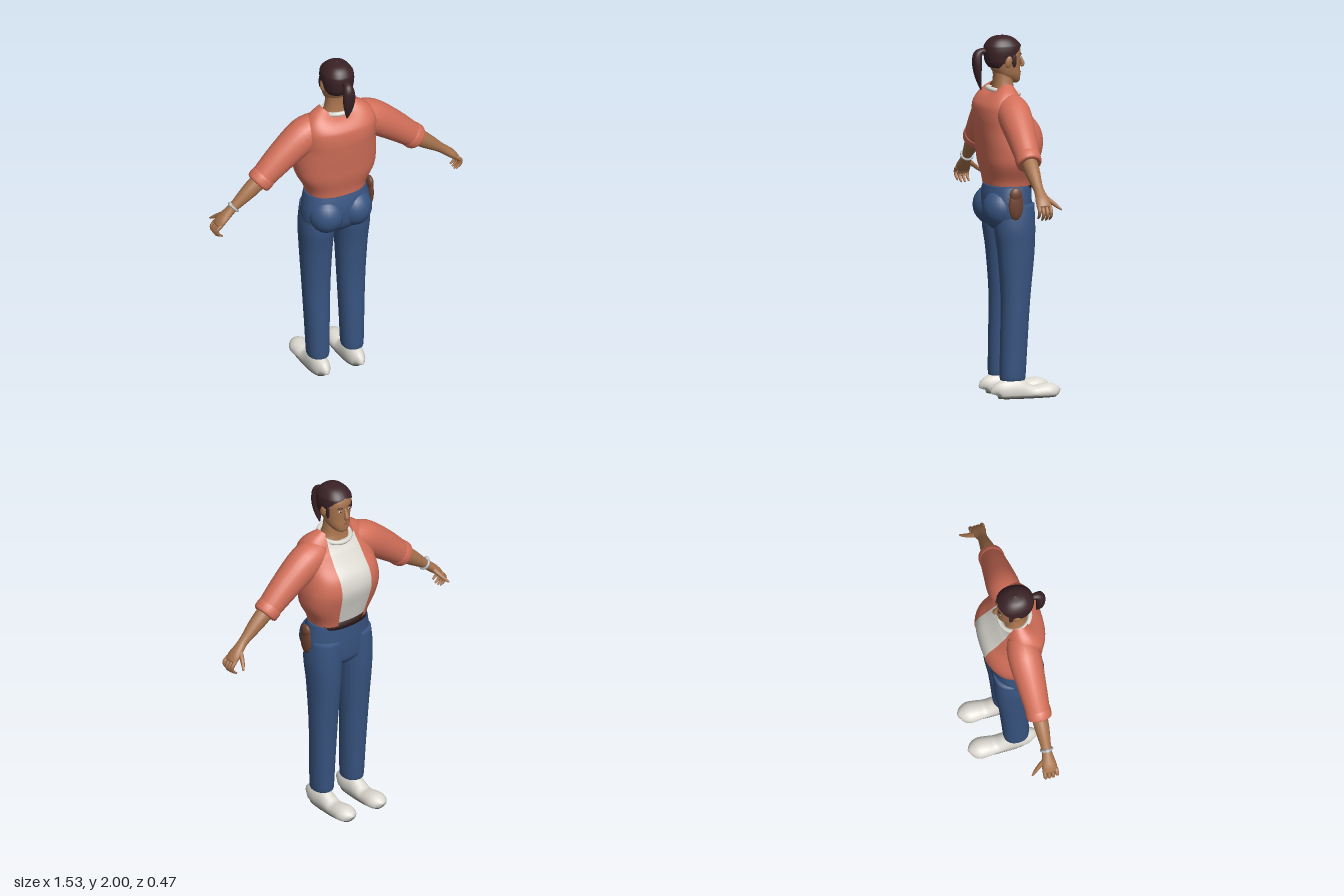
import * as THREE from 'three';

const mat = (name, color, double) => {
  const m = new THREE.MeshStandardMaterial({ color });
  m.name = name;
  if (double) m.side = THREE.DoubleSide;
  return m;
};

// Catmull-Rom subdivision of rows of numbers
function smooth(rows, k = 4) {
  const out = [], at = i => rows[Math.min(rows.length - 1, Math.max(0, i))];
  for (let i = 0; i < rows.length - 1; i++) {
    for (let s = 0; s < k; s++) {
      const t = s / k;
      out.push(rows[i].map((b, c) => {
        const a = at(i - 1)[c], d = at(i + 1)[c], e = at(i + 2)[c];
        return b + 0.5 * t * (d - a + t * (2 * a - 5 * b + 4 * d - e + t * (3 * (b - d) + e - a)));
      }));
    }
  }
  out.push(at(rows.length - 1));
  return out;
}

// Skin a list of point rings; closed rings also get end caps
function skin(rings, closed = true) {
  const n = rings[0].length, pos = [], idx = [];
  rings.forEach(r => r.forEach(p => pos.push(p.x, p.y, p.z)));
  const cols = closed ? n : n - 1;
  for (let i = 0; i < rings.length - 1; i++) {
    for (let j = 0; j < cols; j++) {
      const a = i * n + j, b = i * n + (j + 1) % n;
      idx.push(a, a + n, b, b, a + n, b + n);
    }
  }
  if (closed) {
    for (const i of [0, rings.length - 1]) {
      const c = new THREE.Vector3(), k = pos.length / 3;
      rings[i].forEach(p => c.addScaledVector(p, 1 / n));
      pos.push(c.x, c.y, c.z);
      for (let j = 0; j < n; j++) {
        const a = i * n + j, b = i * n + (j + 1) % n;
        if (i) idx.push(a, k, b); else idx.push(a, b, k);
      }
    }
  }
  const g = new THREE.BufferGeometry();
  g.setAttribute('position', new THREE.Float32BufferAttribute(pos, 3));
  g.setIndex(idx);
  g.computeVertexNormals();
  return g;
}

// Upright form. Rows: [y, centre x, half width, front z, back z]; span gives the arc per row
function upright(rows, { e = 0.9, n = 36, span, inset = 0, dip } = {}) {
  const S = v => Math.sign(v) * Math.abs(v) ** e;
  return skin(rows.map(row => {
    const [y, cx, hw, zf, zb] = row;
    const [a0, a1] = span ? span(row) : [0, 2 * Math.PI];
    return Array.from({ length: n }, (_, j) => {
      const a = a0 + (a1 - a0) * j / (span ? n - 1 : n);
      return new THREE.Vector3(cx + (hw - inset) * S(Math.sin(a)),
        y - (dip ? dip(y) * Math.cos(a) ** 2 : 0),
        (zf + zb) / 2 - ((zb - zf) / 2 - inset) * S(Math.cos(a)));
    });
  }), !span);
}

// Limb along a path. Rows: [x, y, z, radius across, radius along ref]
function limb(rows, ref, { n = 16, floor = -1 } = {}) {
  const pts = rows.map(r => new THREE.Vector3(r[0], r[1], r[2]));
  return skin(rows.map((r, i) => {
    const t = pts[Math.min(i + 1, pts.length - 1)].clone().sub(pts[Math.max(i - 1, 0)]).normalize();
    const V = ref.clone().addScaledVector(t, -ref.dot(t)).normalize();
    const U = t.clone().cross(V);
    return Array.from({ length: n }, (_, j) => {
      const a = j / n * 2 * Math.PI;
      const p = pts[i].clone().addScaledVector(U, r[3] * Math.cos(a)).addScaledVector(V, r[4] * Math.sin(a));
      p.y = Math.max(p.y, floor);
      return p;
    });
  }));
}

export function createModel() {
  const root = new THREE.Group();
  const coral = mat('coral jacket', 0xd4705a, true), denim = mat('blue denim', 0x385480);
  const skinM = mat('skin', 0xa8744e), hairM = mat('dark hair', 0x3a2226, true);
  const white = mat('off white', 0xdcd9d1, true), brown = mat('brown leather', 0x6e4230);
  const belt = mat('dark belt', 0x3d2020), silver = mat('silver', 0xb9bec2);
  const sole = mat('grey sole', 0x6a6862), lip = mat('lips', 0x8c5340);
  const X = new THREE.Vector3(1, 0, 0), Y = new THREE.Vector3(0, 1, 0), Z = new THREE.Vector3(0, 0, 1);

  const add = (name, geo, m) => {
    const mesh = new THREE.Mesh(geo, m);
    mesh.name = name;
    root.add(mesh);
    return mesh;
  };
  const ball = (name, m, p, s) => {
    const b = add(name, new THREE.SphereGeometry(1, 20, 14), m);
    b.position.set(...p);
    b.scale.set(...s);
    return b;
  };

  // Open jacket over a shirt, sharing one torso form
  const torso = smooth([
    [1.18, 0, 0.172, -0.09, 0.16], [1.22, 0, 0.185, -0.1, 0.166], [1.3, 0, 0.226, -0.122, 0.185],
    [1.38, 0, 0.237, -0.145, 0.195], [1.44, 0, 0.234, -0.148, 0.203], [1.5, 0, 0.226, -0.13, 0.21],
    [1.56, 0, 0.222, -0.085, 0.215], [1.62, 0, 0.216, -0.045, 0.21], [1.67, 0, 0.195, -0.022, 0.19],
    [1.71, 0, 0.155, -0.01, 0.162], [1.74, 0, 0.1, 0, 0.125]]);
  const opening = ([y, , hw]) => {
    const edge = Math.min(0.085 + 0.02 * Math.sin((y - 1.18) * 5), hw * 0.88);
    return Math.asin((edge / hw) ** (1 / 0.82));
  };
  const dip = y => Math.max(0, y - 1.62) * 0.4;
  add('jacket', upright(torso, { e: 0.82, n: 48, dip, span: r => [opening(r), 2 * Math.PI - opening(r)] }), coral);
  add('shirt', upright(torso.filter(r => r[0] > 1.205 && r[0] < 1.715),
    { e: 0.82, n: 20, dip, inset: 0.005, span: r => [-opening(r) - 0.08, opening(r) + 0.08] }), white);
  add('belt', upright([[1.16, 0, 0.17, -0.09, 0.155], [1.215, 0, 0.17, -0.092, 0.155]], { e: 0.82 }), belt);
  const collar = add('collar', new THREE.TorusGeometry(0.088, 0.013, 10, 36), white);
  collar.rotation.x = Math.PI / 2 - 0.22;
  collar.position.set(0, 1.69, 0.058);

  // Trousers
  add('hips', upright(smooth([[0.9, 0, 0.07, -0.04, 0.07], [0.94, 0, 0.165, -0.078, 0.13],
    [0.99, 0, 0.196, -0.087, 0.165], [1.06, 0, 0.2, -0.09, 0.175], [1.12, 0, 0.192, -0.09, 0.172],
    [1.18, 0, 0.177, -0.09, 0.157]])), denim);

  for (const s of [-1, 1]) {
    ball('buttock', denim, [s * 0.085, 1.05, 0.095], [0.103, 0.112, 0.106]);
    add('trouserLeg', upright(smooth([
      [0.1, s * 0.106, 0.054, -0.028, 0.102], [0.125, s * 0.106, 0.061, -0.035, 0.108],
      [0.3, s * 0.107, 0.067, -0.045, 0.106], [0.55, s * 0.108, 0.077, -0.06, 0.102],
      [0.8, s * 0.109, 0.088, -0.083, 0.12], [0.95, s * 0.108, 0.097, -0.088, 0.14],
      [1.08, s * 0.1, 0.092, -0.085, 0.13]]), { n: 28 }), denim);

    // Shoe rows: z, height, half width
    const shoe = [[0.126, 0.05, 0.012], [0.117, 0.085, 0.038], [0.07, 0.108, 0.05], [0.01, 0.108, 0.05],
      [-0.03, 0.088, 0.05], [-0.08, 0.064, 0.052], [-0.13, 0.072, 0.058], [-0.175, 0.075, 0.06],
      [-0.21, 0.06, 0.044], [-0.225, 0.04, 0.012]];
    add('shoe', limb(smooth(shoe.map(([z, h, w]) => [s * 0.108, h * 0.35, z, h * 0.65, w])), X,
      { n: 24, floor: 0.01 }), white);
    add('shoeSole', upright([[0, s * 0.108, 0.05, -0.212, 0.118], [0.014, s * 0.108, 0.053, -0.216, 0.121]],
      { e: 0.7 }), sole);

    // Sleeve with rolled cuff
    add('sleeve', limb(smooth([[s * 0.1, 1.63, 0.06, 0.07, 0.075], [s * 0.2, 1.585, 0.058, 0.097, 0.093],
      [s * 0.35, 1.475, 0.06, 0.085, 0.08], [s * 0.482, 1.362, 0.062, 0.066, 0.065]]), Z, { n: 24 }), coral);
    add('sleeveCuff', limb(smooth([[s * 0.448, 1.391, 0.062, 0.062, 0.062], [s * 0.453, 1.387, 0.062, 0.073, 0.071],
      [s * 0.485, 1.359, 0.062, 0.072, 0.07], [s * 0.493, 1.352, 0.062, 0.06, 0.058]], 3), Z, { n: 24 }), coral);

    // Forearm, palm, curled fingers and thumb
    add('forearm', limb(smooth([[s * 0.45, 1.39, 0.062, 0.05, 0.045], [s * 0.54, 1.32, 0.062, 0.045, 0.041],
      [s * 0.635, 1.243, 0.06, 0.028, 0.028], [s * 0.675, 1.208, 0.057, 0.026, 0.033],
      [s * 0.712, 1.175, 0.055, 0.024, 0.042], [s * 0.74, 1.147, 0.055, 0.016, 0.038]]), Z), skinM);
    for (let f = 0; f < 4; f++) {
      const z = 0.022 + f * 0.022, d = f === 3 ? 0.012 : f === 0 ? 0.004 : 0;
      add('finger', limb(smooth([[s * 0.728, 1.16, z, 0.011, 0.011], [s * 0.754, 1.125 + d, z, 0.011, 0.011],
        [s * 0.748, 1.098 + d, z, 0.009, 0.009], [s * 0.722, 1.078 + d, z, 0.005, 0.005]]), Z, { n: 8 }), skinM);
    }
    add('thumb', limb(smooth([[s * 0.685, 1.195, 0.035, 0.015, 0.016], [s * 0.7, 1.172, 0.002, 0.013, 0.013],
      [s * 0.715, 1.15, -0.025, 0.01, 0.01], [s * 0.73, 1.133, -0.046, 0.005, 0.005]]), Y, { n: 8 }), skinM);

    // Ears, eyes and brows
    ball('ear', skinM, [s * 0.084, 1.862, 0.052], [0.012, 0.034, 0.02]).rotation.x = -0.2;
    ball('eye', white, [s * 0.031, 1.876, -0.032], [0.012, 0.006, 0.005]);
    ball('iris', belt, [s * 0.031, 1.876, -0.0355], [0.005, 0.005, 0.003]);
    ball('eyebrow', hairM, [s * 0.033, 1.896, -0.034], [0.018, 0.004, 0.005]).rotation.y = -s * 0.3;
  }

  // Neck and head
  add('neck', upright(smooth([[1.6, 0, 0.1, -0.01, 0.15], [1.67, 0, 0.095, -0.005, 0.135],
    [1.71, 0, 0.073, 0.003, 0.118], [1.78, 0, 0.06, 0.005, 0.112], [1.84, 0, 0.06, 0.01, 0.12]])), skinM);
  add('head', upright(smooth([[1.735, 0, 0.022, -0.026, 0.03], [1.748, 0, 0.042, -0.036, 0.06],
    [1.78, 0, 0.063, -0.038, 0.1], [1.82, 0, 0.073, -0.036, 0.128], [1.87, 0, 0.08, -0.038, 0.148],
    [1.92, 0, 0.08, -0.038, 0.152], [1.96, 0, 0.066, -0.015, 0.135], [1.985, 0, 0.035, 0.02, 0.1]])), skinM);
  add('nose', limb(smooth([[0, 1.888, -0.034, 0.006, 0.006], [0, 1.86, -0.046, 0.01, 0.01],
    [0, 1.836, -0.054, 0.012, 0.015], [0, 1.824, -0.044, 0.008, 0.013]]), X, { n: 12 }), skinM);
  ball('mouth', lip, [0, 1.793, -0.037], [0.02, 0.006, 0.005]);

  // Hair cap: last column is the half angle left open for the face
  const cap = smooth([[1.825, 0, 0.074, -0.03, 0.138, 2.1], [1.85, 0, 0.084, -0.038, 0.156, 1.75],
    [1.88, 0, 0.088, -0.042, 0.163, 1.4], [1.91, 0, 0.09, -0.044, 0.166, 0.98],
    [1.935, 0, 0.088, -0.042, 0.164, 0.62], [1.95, 0, 0.084, -0.036, 0.159, 0],
    [1.975, 0, 0.066, -0.012, 0.14, 0], [1.992, 0, 0.042, 0.018, 0.112, 0], [2, 0, 0.002, 0.06, 0.066, 0]]);
  add('hair', upright(cap, { n: 40, span: r => [Math.max(0, r[5]), 2 * Math.PI - Math.max(0, r[5])] }), hairM);
  for (const s of [-1, 1]) ball('sideburn', hairM, [s * 0.079, 1.868, 0.018], [0.008, 0.04, 0.014]);
  add('ponytail', limb(smooth([[0, 1.9, 0.145, 0.02, 0.022], [0, 1.915, 0.175, 0.017, 0.02],
    [0, 1.895, 0.203, 0.025, 0.03], [0, 1.84, 0.207, 0.026, 0.036], [0, 1.77, 0.2, 0.017, 0.027],
    [0, 1.7, 0.184, 0.003, 0.004]]), X), hairM);

  // Wrist bracelet and hip pouch
  const bracelet = add('bracelet', new THREE.TorusGeometry(0.031, 0.007, 8, 24), silver);
  bracelet.position.set(-0.64, 1.239, 0.06);
  bracelet.quaternion.setFromUnitVectors(Z, new THREE.Vector3(-0.76, -0.65, 0).normalize());
  ball('bandFace', silver, [-0.659, 1.261, 0.06], [0.012, 0.014, 0.016]);
  ball('hipPouch', brown, [0.208, 1.085, 0.05], [0.017, 0.085, 0.042]);
  ball('pouchFlap', brown, [0.208, 1.14, 0.05], [0.019, 0.04, 0.036]);
  return root;
}
